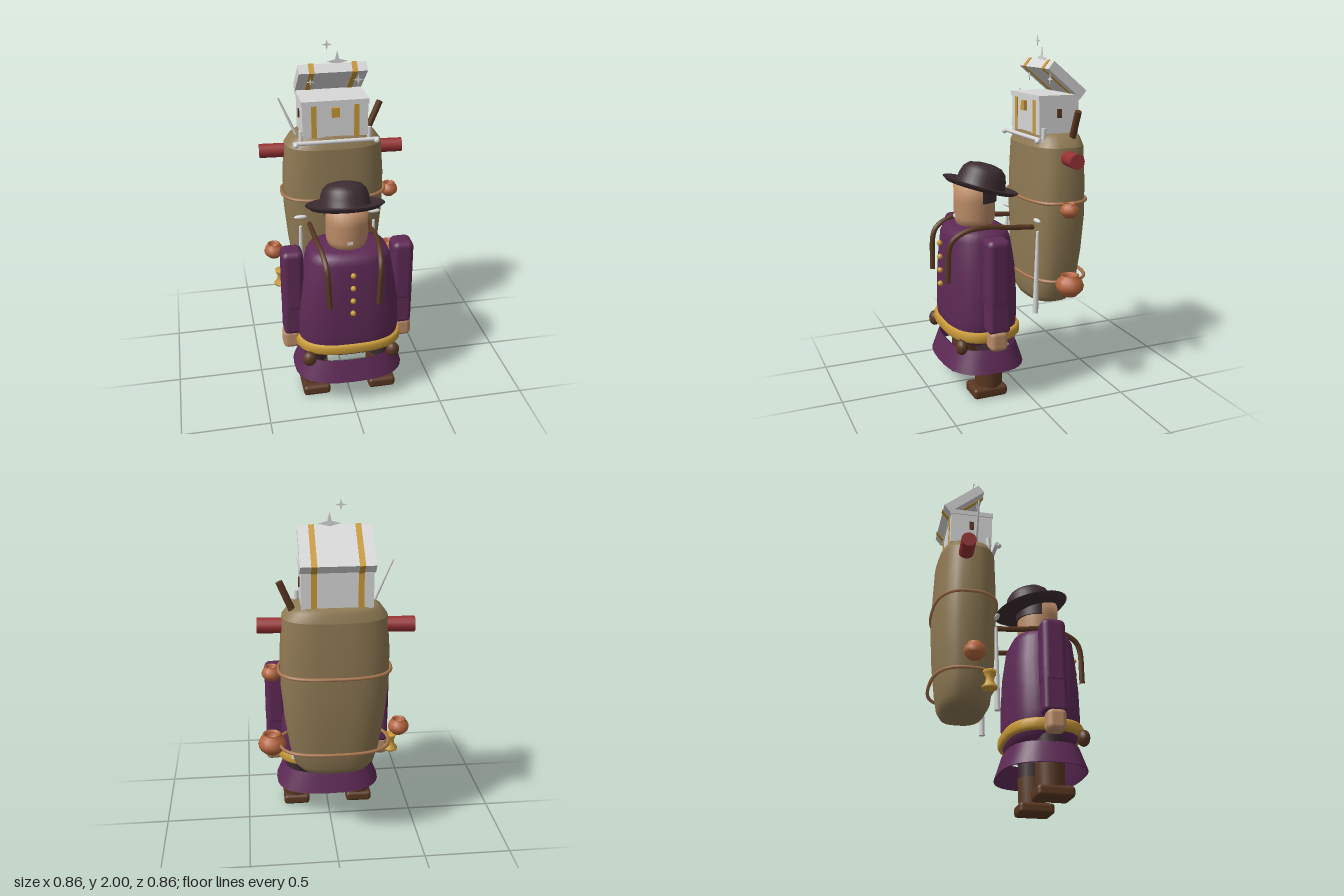
import * as THREE from 'three';
import { RoundedBoxGeometry } from 'three/addons/geometries/RoundedBoxGeometry.js';

const mat = (name, color) => new THREE.MeshStandardMaterial({ name, color });
const V = (x, y, z) => new THREE.Vector3(x, y, z);

// point on a rounded-rectangle-like oval
function oval(t, rx, rz, n = 2.7) {
  const c = Math.cos(t), s = Math.sin(t);
  return [Math.sign(c) * Math.pow(Math.abs(c), 2 / n) * rx, Math.sign(s) * Math.pow(Math.abs(s), 2 / n) * rz];
}

// skin through oval sections [y, rx, rz, centreZ]; a repeated section makes a sharp edge
function loft(sections, seg = 32) {
  const pos = [], idx = [];
  sections.forEach(([y, rx, rz, cz], i) => {
    for (let j = 0; j < seg; j++) {
      const [x, z] = oval((j / seg) * Math.PI * 2, rx, rz);
      pos.push(x, y, z + cz);
      if (i === sections.length - 1) continue;
      const a = i * seg + j, b = i * seg + (j + 1) % seg;
      idx.push(a, a + seg, b, b, a + seg, b + seg);
    }
  });
  const g = new THREE.BufferGeometry();
  g.setAttribute('position', new THREE.Float32BufferAttribute(pos, 3));
  g.setIndex(idx);
  g.computeVertexNormals();
  return g;
}

const lathe = (pts, seg) => new THREE.LatheGeometry(pts.map(p => new THREE.Vector2(p[0], p[1])), seg);
const box = (w, h, d) => new THREE.BoxGeometry(w, h, d);

export function createModel() {
  const model = new THREE.Group();
  model.name = 'travellingTrader';
  const purple = mat('purpleCloth', 0x5e2a56), skin = mat('skin', 0xbd8d68), dark = mat('darkFelt', 0x3d2d32);
  const brown = mat('brownLeather', 0x5a3822), gold = mat('gold', 0xc99a38), khaki = mat('khakiCanvas', 0x8f7a54);
  const copper = mat('copper', 0xb5653e), red = mat('redBlanket', 0x973234);
  const white = mat('whiteMetal', 0xd8d8d8), rope = mat('rope', 0xaa7850);

  const add = (name, geo, material, x = 0, y = 0, z = 0, parent = model) => {
    const m = new THREE.Mesh(geo, material);
    m.name = name;
    m.position.set(x, y, z);
    parent.add(m);
    return m;
  };
  // round rod between two points
  const rod = (name, material, a, b, r0, r1 = r0, seg = 10) => {
    const d = b.clone().sub(a), mid = a.clone().add(b).multiplyScalar(0.5);
    const m = add(name, new THREE.CylinderGeometry(r1, r0, d.length(), seg), material, mid.x, mid.y, mid.z);
    m.quaternion.setFromUnitVectors(V(0, 1, 0), d.normalize());
    return m;
  };

  // coat, skirt and belt
  add('coat', loft([
    [0.31, 0, 0, 0.195], [0.31, 0.24, 0.165, 0.195], [0.35, 0.28, 0.195, 0.197], [0.45, 0.295, 0.2, 0.198],
    [0.6, 0.288, 0.2, 0.197], [0.75, 0.265, 0.194, 0.196], [0.9, 0.235, 0.178, 0.2],
    [0.94, 0.215, 0.16, 0.2], [0.957, 0.17, 0.12, 0.2], [0.965, 0, 0, 0.2]]), purple);
  add('skirt', loft([
    [0.165, 0.318, 0.237, 0.195], [0.29, 0.268, 0.197, 0.195], [0.29, 0.268, 0.197, 0.195],
    [0.288, 0.258, 0.188, 0.195], [0.165, 0.308, 0.227, 0.195], [0.165, 0.318, 0.237, 0.195]]), purple);
  add('belt', loft([
    [0.345, 0.275, 0.185, 0.197], [0.345, 0.3, 0.206, 0.197], [0.358, 0.31, 0.217, 0.197],
    [0.392, 0.31, 0.217, 0.197], [0.405, 0.3, 0.208, 0.197], [0.405, 0.28, 0.19, 0.197]]), gold);
  for (const y of [0.86, 0.78, 0.7, 0.62])
    add('button', new THREE.SphereGeometry(0.016, 10, 8), gold, -0.007, y, 0.408);

  // limbs, pouches, shoulder straps and hanging tools on both sides
  for (const s of [1, -1]) {
    add('trouserLeg', new THREE.CylinderGeometry(0.075, 0.072, 0.17, 14), dark, s * 0.197, 0.275, 0.195);
    add('boot', new THREE.CylinderGeometry(0.08, 0.076, 0.16, 14), brown, s * 0.197, 0.125, 0.197);
    add('foot', new RoundedBoxGeometry(0.16, 0.062, 0.2, 2, 0.02), brown, s * 0.197, 0.031, 0.21);
    add('upperSleeve', new RoundedBoxGeometry(0.122, 0.38, 0.135, 3, 0.035), purple, s * 0.315, 0.756, 0.193);
    add('lowerSleeve', new RoundedBoxGeometry(0.116, 0.27, 0.128, 3, 0.025), purple, s * 0.316, 0.55, 0.193);
    add('hand', new RoundedBoxGeometry(0.1, 0.12, 0.105, 2, 0.03), skin, s * 0.33, 0.375, 0.197);
    add('pouch', new THREE.SphereGeometry(0.04, 12, 10), brown, s * 0.25 - 0.015 * (s > 0 ? 1 : 0), 0.32, 0.37).scale.set(1, 1.12, 0.85);
    const path = new THREE.CatmullRomCurve3([
      V(s * 0.168, 0.945, -0.1), V(s * 0.168, 0.955, 0.04), V(s * 0.17, 0.972, 0.2),
      V(s * 0.16, 0.955, 0.31), V(s * 0.15, 0.9, 0.39), V(s * 0.138, 0.67, 0.412)]);
    add('shoulderStrap', new THREE.TubeGeometry(path, 30, 0.015, 6), brown);
    rod('hangingTool', white, V(s * 0.22, 0.45, -0.085), V(s * 0.22, 0.93, -0.095), 0.017, 0.009);
    add('toolHandle', new THREE.SphereGeometry(0.04, 12, 8), white, s * 0.22, 0.993, -0.09).scale.set(1, 0.3, 0.35);
  }

  // head
  add('head', lathe([[0, 0.945], [0.085, 0.948], [0.108, 0.965], [0.117, 1], [0.118, 1.1], [0.118, 1.19], [0, 1.19]], 24), skin, -0.003, 0, 0.198);
  add('hair', new THREE.CylinderGeometry(0.124, 0.122, 0.1, 20, 1, false, Math.PI / 2, Math.PI), dark, -0.003, 1.14, 0.193);
  add('mouth', box(0.03, 0.016, 0.008), white, -0.007, 1.01, 0.315);

  // tilted hat
  const hat = add('hat', lathe([
    [0, 0], [0.14, 0], [0.195, 0.006], [0.222, 0.026], [0.214, 0.032], [0.15, 0.02], [0.14, 0.03],
    [0.136, 0.07], [0.122, 0.11], [0.095, 0.136], [0.05, 0.147], [0, 0.15]], 32), dark, -0.005, 1.152, 0.165);
  hat.rotation.x = -0.28;

  // backpack with two rope rings
  add('backpack', loft([
    [0.48, 0, 0, -0.235], [0.48, 0.14, 0.09, -0.235], [0.49, 0.19, 0.118, -0.235], [0.53, 0.225, 0.14, -0.235],
    [0.62, 0.25, 0.152, -0.237], [0.8, 0.276, 0.167, -0.242], [1.0, 0.295, 0.175, -0.246], [1.2, 0.297, 0.172, -0.246],
    [1.4, 0.282, 0.165, -0.246], [1.4, 0.282, 0.165, -0.246], [1.445, 0.25, 0.15, -0.248], [1.47, 0.21, 0.135, -0.25], [1.47, 0, 0, -0.25]]), khaki);
  for (const y of [1.095, 0.645]) {
    const pts = Array.from({ length: 32 }, (_, i) => {
      const [x, z] = oval((i / 32) * Math.PI * 2, 0.306, 0.178);
      return V(x, y, z - 0.246);
    });
    add('ropeRing', new THREE.TubeGeometry(new THREE.CatmullRomCurve3(pts, true), 64, 0.01, 6, true), rope);
  }

  // copper pots, open at the top
  for (const [x, y, z, r] of [[0.343, 1.065, -0.23, 0.054], [0.35, 0.635, -0.235, 0.08], [-0.368, 0.71, -0.235, 0.06]])
    add('pot', lathe([
      [0, -0.75], [0.5, -0.72], [0.92, -0.3], [1, 0.05], [0.85, 0.45], [0.6, 0.65], [0.66, 0.78],
      [0.55, 0.78], [0.48, 0.6], [0.4, 0.3], [0, 0.2]].map(p => [p[0] * r, p[1] * r]), 12), copper, x, y, z);
  add('goldBell', lathe([
    [0, 0], [0.04, 0], [0.042, 0.012], [0.026, 0.03], [0.02, 0.06], [0.032, 0.085], [0.036, 0.1], [0, 0.1]], 14), gold, -0.34, 0.52, -0.15);

  // bedroll, walking sticks and rail
  rod('blanketRoll', red, V(-0.425, 1.345, -0.287), V(0.412, 1.345, -0.236), 0.042, 0.042, 14);
  rod('woodenStick', brown, V(0.19, 1.36, -0.298), V(0.292, 1.6, -0.298), 0.019);
  rod('thinRod', white, V(-0.2, 1.42, -0.212), V(-0.312, 1.68, -0.216), 0.01, 0.005, 8);
  rod('rail', white, V(-0.25, 1.445, -0.097), V(0.24, 1.445, -0.097), 0.012);
  for (const s of [1, -1]) {
    add('railKnob', new THREE.SphereGeometry(0.016, 10, 8), white, s * 0.232 - 0.004, 1.44, -0.085);
    rod('railPost', white, V(s * 0.197 - 0.003, 1.41, -0.135), V(s * 0.197 - 0.003, 1.505, -0.14), 0.013);
  }

  // open chest
  const chest = new THREE.Group();
  chest.name = 'chest';
  chest.position.x = -0.005;
  model.add(chest);
  add('chestBase', box(0.375, 0.19, 0.24), white, 0, 1.56, -0.237, chest);
  add('chestRim', box(0.385, 0.028, 0.25), white, 0, 1.666, -0.237, chest);
  add('lock', box(0.044, 0.055, 0.02), gold, 0, 1.613, -0.108, chest);
  const lid = new THREE.Group();
  lid.name = 'chestLid';
  lid.position.set(0, 1.762, -0.283);
  lid.rotation.x = -0.69;
  chest.add(lid);
  add('lidPanel', box(0.388, 0.055, 0.26), white, 0, 0, 0, lid);
  for (const s of [1, -1]) {
    add('baseBand', box(0.03, 0.188, 0.248), gold, s * 0.122, 1.56, -0.237, chest);
    add('lidBand', box(0.03, 0.062, 0.267), gold, s * 0.122, 0, 0, lid);
    add('sideHandle', box(0.01, 0.05, 0.025), brown, s * 0.19, 1.58, -0.237, chest);
  }

  // four-pointed sparkles
  for (const [x, y, z, r] of [[0.022, 1.875, -0.206, 0.06], [-0.036, 1.97, -0.206, 0.03], [0.142, 1.765, -0.2, 0.03], [-0.13, 1.765, -0.2, 0.022]]) {
    const star = new THREE.Shape(Array.from({ length: 8 }, (_, i) => {
      const a = (i * Math.PI) / 4, d = i % 2 ? r * 0.28 : r;
      return new THREE.Vector2(Math.cos(a) * d, Math.sin(a) * d);
    }));
    add('sparkle', new THREE.ExtrudeGeometry(star, { depth: 0.004, bevelEnabled: false }), white, x, y, z);
  }
  return model;
}
